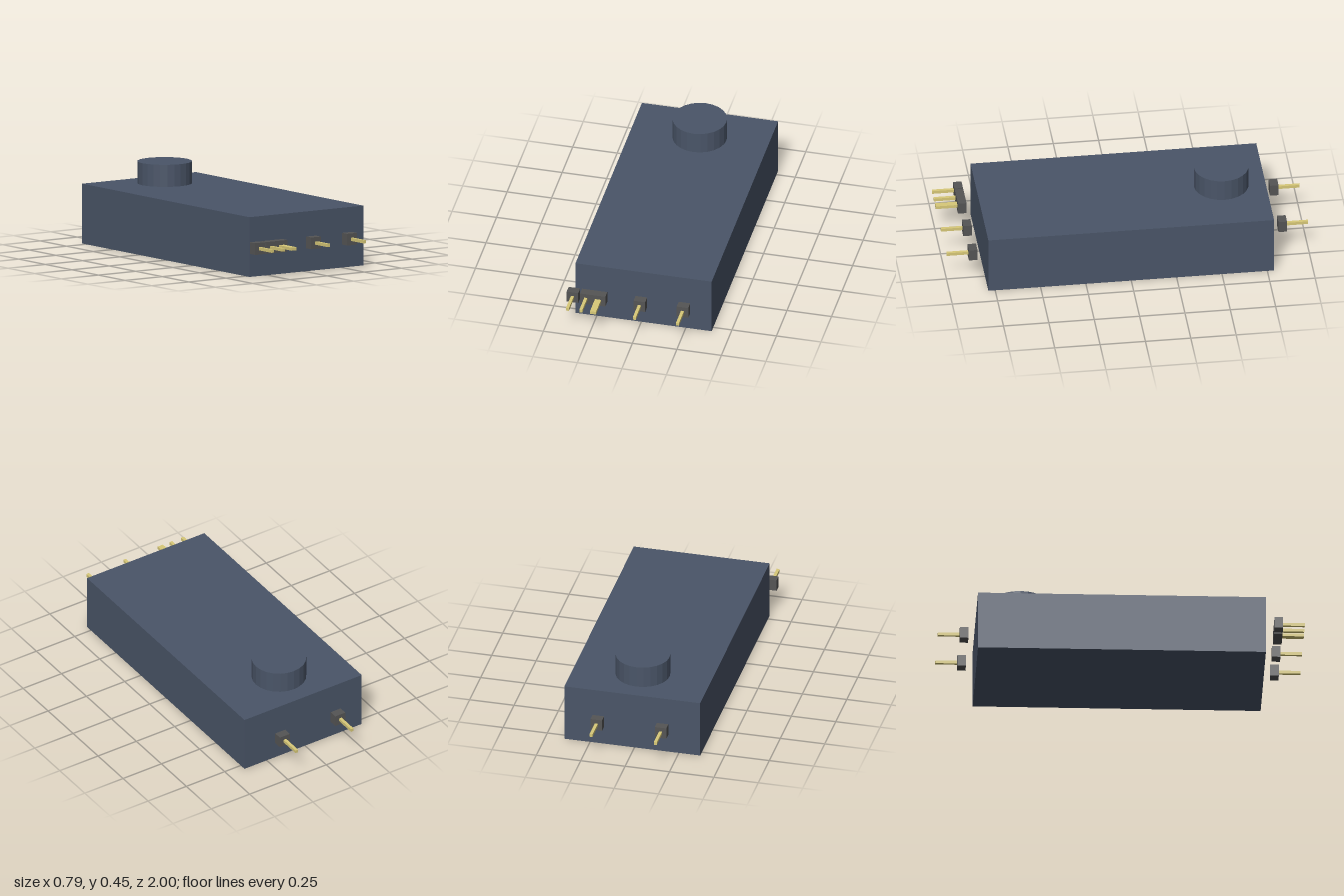
import * as THREE from 'three';

const paint = (color) => new THREE.MeshStandardMaterial({ color, flatShading: true });

export function createModel() {
  const model = new THREE.Group();
  const caseMaterial = paint(0x4a5568);
  const housingMaterial = paint(0x555555);
  const pinMaterial = paint(0xd8c978);

  const add = (parent, name, geometry, material, x, y, z) => {
    const mesh = new THREE.Mesh(geometry, material);
    mesh.name = name;
    mesh.position.set(x, y, z);
    parent.add(mesh);
  };

  // Case and the round component on its top
  add(model, 'body', new THREE.BoxGeometry(0.765, 0.33, 1.575), caseMaterial, 0.0125, 0.165, 0);
  add(model, 'topCylinder', new THREE.CylinderGeometry(0.15, 0.15, 0.122, 24), caseMaterial, 0.0125, 0.391, -0.545);

  // Header pins: a small square housing with a thin pin pointing outwards
  const housing = new THREE.BoxGeometry(0.065, 0.065, 0.047);
  const pin = new THREE.BoxGeometry(0.017, 0.017, 0.12);
  const addHeader = (name, x, side) => {
    const header = new THREE.Group();
    header.name = name;
    header.position.set(x, 0.167, 0);
    add(header, 'pinHousing', housing, housingMaterial, 0, 0, side * 0.857);
    add(header, 'pin', pin, pinMaterial, 0, 0, side * 0.94);
    model.add(header);
  };
  [-0.365, -0.29, -0.23, -0.213, 0.011, 0.253].forEach((x) => addHeader('frontHeader', x, 1));
  [-0.17, 0.192].forEach((x) => addHeader('backHeader', x, -1));

  return model;
}
